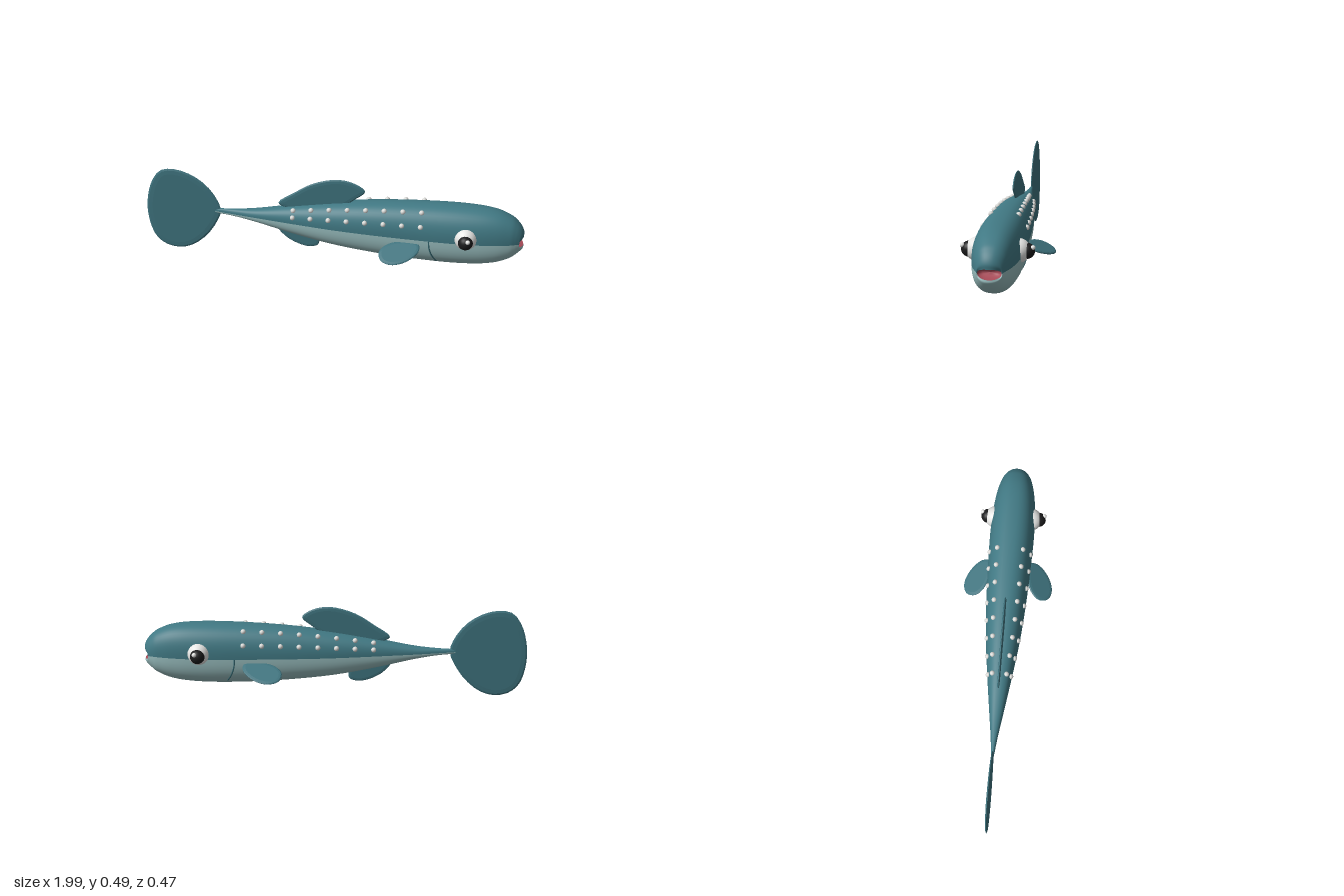
import * as THREE from 'three';

const mat = (name, color, side = THREE.FrontSide) => {
  const m = new THREE.MeshStandardMaterial({ color, side });
  m.name = name;
  return m;
};

// Body stations: x, top, bottom, half width, bow of the ring towards the nose, colour seam height
const STATIONS = [
  [-0.66, 0.256, 0.254, 0.001, 0, 0.255], [-0.62, 0.268, 0.244, 0.007, 0, 0.254],
  [-0.52, 0.274, 0.234, 0.018, 0, 0.251], [-0.4, 0.287, 0.213, 0.035, 0, 0.25],
  [-0.2, 0.325, 0.167, 0.063, 0, 0.25], [0, 0.36, 0.13, 0.088, 0, 0.25],
  [0.2, 0.386, 0.107, 0.104, 0, 0.25], [0.4, 0.402, 0.093, 0.113, 0, 0.25],
  [0.6, 0.41, 0.088, 0.118, 0, 0.25], [0.75, 0.408, 0.094, 0.113, 0, 0.25],
  [0.85, 0.395, 0.11, 0.101, 0, 0.25], [0.92, 0.368, 0.138, 0.085, 0.5, 0.249],
  [0.955, 0.342, 0.164, 0.073, 1.8, 0.248], [0.978, 0.315, 0.187, 0.064, 4, 0.246],
  [0.99, 0.288, 0.203, 0.059, 6, 0.243], [0.99, 0.265, 0.216, 0.055, 8, 0.24],
];
const MOUTH = [
  [0.99, 0.265, 0.216, 0.055, 8, 0.24], [0.97, 0.263, 0.218, 0.052, 7, 0.24],
  [0.945, 0.255, 0.225, 0.035, 5, 0.24], [0.94, 0.2401, 0.2399, 0.0001, 0, 0.24],
];
const POWER = 2.35;

// Smooth rings running through the stations
function smoothRings(stations, count) {
  const curve = (o) => new THREE.CatmullRomCurve3(
    stations.map((s) => new THREE.Vector3(s[o], s[o + 1], s[o + 2])), false, 'catmullrom', 0.5);
  const a = curve(0), b = curve(3);
  return Array.from({ length: count + 1 }, (_, i) =>
    [...a.getPoint(i / count).toArray(), ...b.getPoint(i / count).toArray()]);
}

// Skin over rings; group 0 is the upper half, group 1 the lower half
function loft(rings, power, sides = 48) {
  const pos = [], upper = [], lower = [];
  const bend = (v) => Math.sign(v) * Math.abs(v) ** (2 / power);
  rings.forEach(([x, top, bottom, w, bow, seam], i) => {
    for (let j = 0; j < sides; j++) {
      const t = (j / sides) * Math.PI * 2;
      const z = w * bend(Math.cos(t));
      const s = j === sides / 2 ? 0 : bend(Math.sin(t));
      pos.push(x - bow * z * z, seam + s * (s > 0 ? top - seam : seam - bottom), z);
      if (i === 0) continue;
      const k = (j + 1) % sides, p = (i - 1) * sides, q = i * sides;
      (j < sides / 2 ? upper : lower).push(p + j, q + j, q + k, p + j, q + k, p + k);
    }
  });
  const g = new THREE.BufferGeometry();
  g.setAttribute('position', new THREE.Float32BufferAttribute(pos, 3));
  g.setIndex([...upper, ...lower]);
  g.addGroup(0, upper.length, 0);
  g.addGroup(upper.length, lower.length, 1);
  g.computeVertexNormals();
  return g;
}

// Thin fin with a bevelled edge from a closed smooth outline
function finGeometry(points, bevel) {
  const curve = new THREE.CatmullRomCurve3(
    points.map(([x, y]) => new THREE.Vector3(x, y, 0)), true, 'centripetal');
  const outline = curve.getPoints(36).slice(0, -1).map((p) => new THREE.Vector2(p.x, p.y));
  const g = new THREE.ExtrudeGeometry(new THREE.Shape(outline), {
    depth: 0.002, bevelEnabled: true, bevelThickness: 0.005, bevelSize: bevel,
    bevelOffset: -bevel, bevelSegments: 2,
  });
  return g.translate(0, 0, -0.001);
}

export function createModel() {
  const model = new THREE.Group();
  const back = mat('back teal', 0x417984);
  const belly = mat('belly pale teal', 0x98bdbe);
  const finTeal = mat('fin teal', 0x3f747f);
  const red = mat('mouth red', 0xa84b58, THREE.DoubleSide);
  const white = mat('eye white', 0xe6e6e4);
  const black = mat('pupil black', 0x1b1b1c);
  const spot = mat('spot white', 0xd9d9d6);
  const dark = mat('gill teal', 0x356a74);

  const add = (name, geometry, material, x = 0, y = 0, z = 0) => {
    const m = new THREE.Mesh(geometry, material);
    m.name = name;
    m.position.set(x, y, z);
    model.add(m);
    return m;
  };

  // Body and mouth
  const rings = smoothRings(STATIONS, 90);
  add('body', loft(rings, POWER), [back, belly]);
  add('mouth', loft(MOUTH, POWER), [red, red]);

  // Ring at a given x, and the skin point at height fraction f (-1 to 1)
  const skin = (x, f) => {
    const i = rings.findIndex((r) => r[0] >= x);
    const t = (x - rings[i - 1][0]) / (rings[i][0] - rings[i - 1][0]);
    const [, top, bottom, w, , seam] = rings[i].map((v, k) => THREE.MathUtils.lerp(rings[i - 1][k], v, t));
    return new THREE.Vector3(x, seam + f * (f > 0 ? top - seam : seam - bottom),
      w * (1 - Math.abs(f) ** POWER) ** (1 / POWER));
  };

  // Upright fins
  add('tailFin', finGeometry([
    [-0.597, 0.255], [-0.615, 0.32], [-0.67, 0.4], [-0.75, 0.457], [-0.84, 0.482], [-0.915, 0.468],
    [-0.965, 0.4], [-0.99, 0.32], [-1, 0.24], [-0.992, 0.15], [-0.965, 0.07], [-0.915, 0.024],
    [-0.84, 0.008], [-0.76, 0.032], [-0.68, 0.1], [-0.62, 0.19]], 0.03), finTeal);
  add('dorsalFin', finGeometry([
    [-0.285, 0.335], [-0.2, 0.402], [-0.1, 0.465], [0.03, 0.499], [0.125, 0.48], [0.17, 0.442],
    [0.12, 0.395], [0.05, 0.345], [-0.1, 0.32], [-0.22, 0.305]], 0.02), finTeal);
  add('analFin', finGeometry([
    [-0.29, 0.19], [-0.25, 0.137], [-0.18, 0.098], [-0.12, 0.087], [-0.077, 0.102],
    [-0.07, 0.135], [-0.09, 0.175], [-0.2, 0.205]], 0.015), finTeal);

  const pectoral = finGeometry([
    [0.465, 0.012], [0.468, 0.06], [0.41, 0.125], [0.34, 0.15], [0.285, 0.13],
    [0.27, 0.075], [0.31, 0.025], [0.39, 0]], 0.015);
  const dot = new THREE.SphereGeometry(0.0135, 12, 8);

  for (const side of [1, -1]) {
    const label = side > 0 ? 'right' : 'left';

    // Side fin, sloping down and outwards
    const fin = add(label + 'SideFin', pectoral, finTeal, 0, 0.229, 0.1 * side);
    fin.rotation.x = side * THREE.MathUtils.degToRad(115);

    // Eye
    add(label + 'Eye', new THREE.SphereGeometry(0.058, 32, 20), white, 0.7, 0.275, 0.096 * side);
    add(label + 'Pupil', new THREE.SphereGeometry(0.038, 28, 18), black, 0.702, 0.275, 0.136 * side);
    add(label + 'EyeGlint', new THREE.SphereGeometry(0.0115, 14, 10), white, 0.715, 0.295, 0.166 * side);

    // Two rows of spots
    for (const f of [0.87, 0.47]) {
      for (let i = 0; i < 8; i++) {
        const p = skin(-0.2 + i * 0.0957, f);
        add(label + 'Spot', dot, spot, p.x, p.y, p.z * side);
      }
    }

    // Gill line
    const gill = [0, -0.2, -0.4, -0.6, -0.8].map((f) => {
      const p = skin(0.515 + 0.065 * f * f, f);
      return p.setZ(p.z * side);
    });
    add(label + 'Gill', new THREE.TubeGeometry(new THREE.CatmullRomCurve3(gill), 24, 0.004, 6), dark);
  }
  return model;
}
